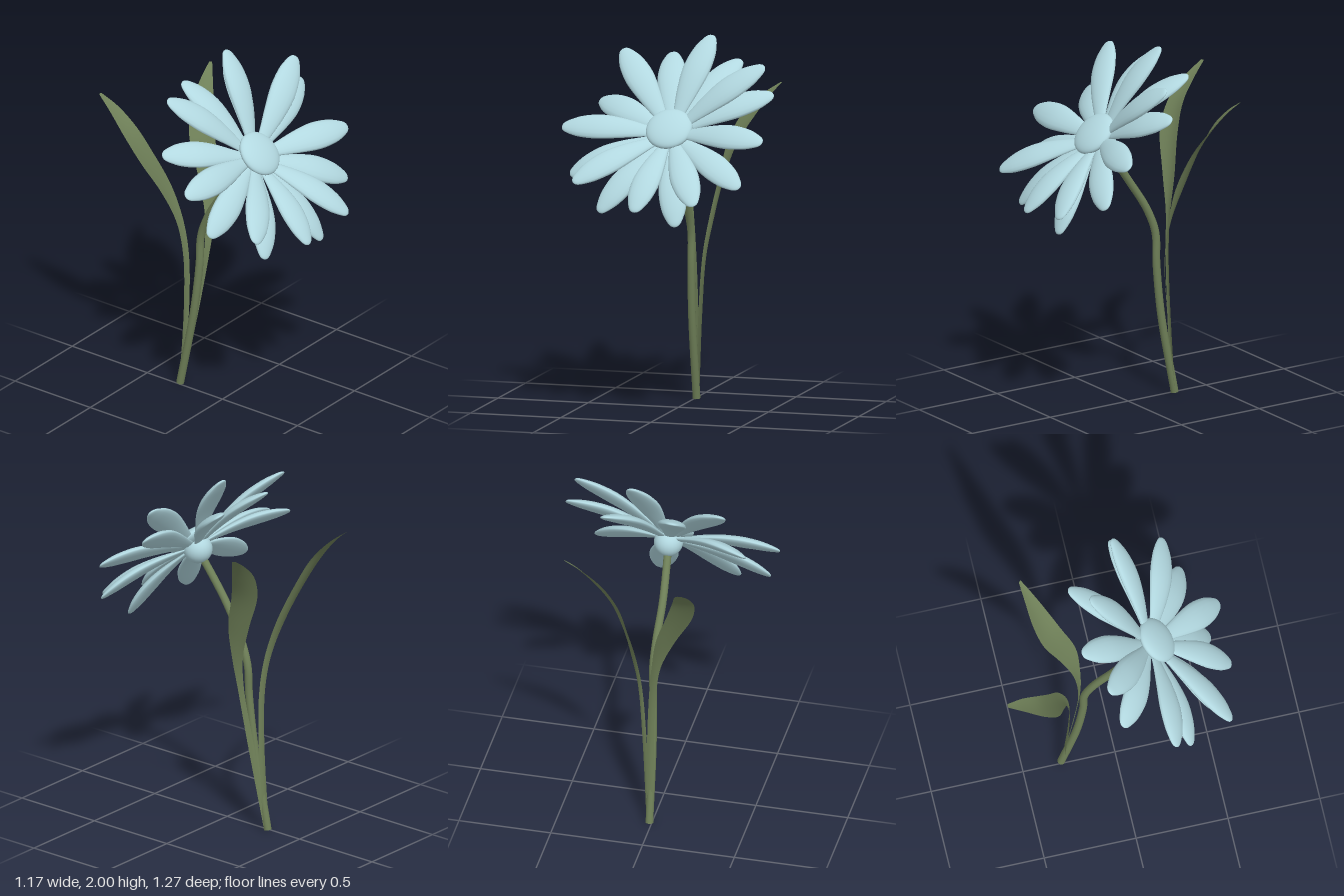
import * as THREE from 'three';
import { mergeVertices } from 'three/addons/utils/BufferGeometryUtils.js';

const V = (x, y, z) => new THREE.Vector3(x, y, z);
const petalMat = new THREE.MeshStandardMaterial({ color: 0xb2d8e0 });
const greenMat = new THREE.MeshStandardMaterial({ color: 0x6f8058 });
const leafMat = new THREE.MeshStandardMaterial({ color: 0x6f8058, side: THREE.DoubleSide });

const facing = V(0, 0.7, 0.72).normalize(); // direction the flower looks
const heart = V(0.02, 1.51, 0.2);

function add(parent, name, geometry, material) {
  const mesh = new THREE.Mesh(geometry, material);
  mesh.name = name;
  parent.add(mesh);
  return mesh;
}

// Petal of unit length along y: a flattened spindle with a slight bow and a soft ridge
function petalGeometry() {
  const outline = new THREE.SplineCurve([
    [0, 0], [0.022, 0.01], [0.036, 0.15], [0.062, 0.38], [0.077, 0.6],
    [0.067, 0.8], [0.042, 0.93], [0.022, 0.985], [0, 1],
  ].map(([r, t]) => new THREE.Vector2(r, t)));
  const points = outline.getPoints(28).map((p) => new THREE.Vector2(Math.max(p.x, 0), p.y));
  let geo = new THREE.LatheGeometry(points, 16);
  const pos = geo.attributes.position;
  for (let i = 0; i < pos.count; i++) {
    const t = pos.getY(i), z = pos.getZ(i);
    pos.setZ(i, z * (z > 0 ? 0.4 : 0.26) + 0.022 * Math.sin(Math.PI * t));
  }
  geo.deleteAttribute('uv');
  geo.deleteAttribute('normal');
  geo = mergeVertices(geo, 1e-5);
  geo.computeVertexNormals();
  return geo;
}

// Leaf blade spanned between two edge curves, gently folded along the middle
function leafGeometry(rows, fold) {
  const edges = [0, 1].map((k) => new THREE.CatmullRomCurve3(
    rows.map(([y, ...e]) => V(e[k * 2], y, e[k * 2 + 1]))));
  const steps = 40, cols = 6, position = [], index = [];
  for (let i = 0; i <= steps; i++) {
    const a = edges[0].getPoint(i / steps), b = edges[1].getPoint(i / steps);
    const width = a.distanceTo(b);
    for (let j = 0; j <= cols; j++) {
      const s = j / cols;
      const p = a.clone().lerp(b, s).addScaledVector(fold, width * Math.sin(Math.PI * s));
      position.push(p.x, p.y, p.z);
      if (i < steps && j < cols) {
        const q = i * (cols + 1) + j, r = q + cols + 1;
        index.push(q, q + 1, r, q + 1, r + 1, r);
      }
    }
  }
  const geo = new THREE.BufferGeometry();
  geo.setAttribute('position', new THREE.Float32BufferAttribute(position, 3));
  geo.setIndex(index);
  geo.computeVertexNormals();
  return geo;
}

export function createModel() {
  const model = new THREE.Group();
  model.name = 'flower';

  // Stem
  const path = new THREE.CatmullRomCurve3([
    V(0.012, 0.01, -0.29), V(0.014, 0.45, -0.203), V(0.02, 0.75, -0.168), V(0.023, 0.92, -0.16),
    V(0.018, 1.06, -0.108), V(0.008, 1.23, -0.002), V(0.012, 1.375, 0.1), V(0.02, 1.49, 0.185)]);
  add(model, 'stem', new THREE.TubeGeometry(path, 48, 0.021, 12), greenMat);
  const cut = add(model, 'stemEnd', new THREE.CircleGeometry(0.021, 12), leafMat);
  cut.position.copy(path.getPoint(0));
  cut.lookAt(cut.position.clone().sub(path.getTangent(0)));

  // Leaves, each row: height, then x and z of both edges
  add(model, 'rightLeaf', leafGeometry([
    [0.02, -0.008, -0.28, 0.03, -0.28], [0.5, -0.005, -0.252, 0.035, -0.246],
    [0.8, -0.015, -0.25, 0.025, -0.243], [1.0, -0.045, -0.272, 0.005, -0.266],
    [1.2, -0.13, -0.308, -0.03, -0.318], [1.4, -0.235, -0.365, -0.1, -0.385],
    [1.55, -0.27, -0.45, -0.15, -0.455], [1.66, -0.26, -0.55, -0.185, -0.55],
    [1.73, -0.243, -0.635, -0.222, -0.637]], V(0, 0.03, -0.09)), leafMat);
  add(model, 'leftLeaf', leafGeometry([
    [0.01, 0.005, -0.3, 0.03, -0.28], [0.5, 0.045, -0.218, 0.072, -0.2],
    [0.8, 0.078, -0.182, 0.105, -0.163], [1.0, 0.11, -0.2, 0.148, -0.157],
    [1.2, 0.14, -0.268, 0.195, -0.17], [1.4, 0.17, -0.35, 0.252, -0.24],
    [1.55, 0.245, -0.392, 0.335, -0.312], [1.65, 0.35, -0.41, 0.4, -0.368],
    [1.71, 0.44, -0.422, 0.45, -0.41]], V(0.07, -0.03, -0.02)), leafMat);

  // Flower head: domed centre and the bulb behind it
  const tilt = new THREE.Quaternion().setFromUnitVectors(V(0, 1, 0), facing);
  const disc = add(model, 'flowerCentre', new THREE.SphereGeometry(0.126, 32, 20), petalMat);
  disc.scale.y = 0.33;
  disc.quaternion.copy(tilt);
  disc.position.copy(heart).addScaledVector(facing, 0.045);
  const bulb = add(model, 'flowerBase', new THREE.SphereGeometry(0.078, 24, 16), petalMat);
  bulb.position.copy(heart).addScaledVector(facing, -0.02);

  // Petals, given by their tips
  const tips = [
    [0.16, 2.0, -0.1], [0.29, 1.86, -0.19], [0.51, 1.88, 0.1], [0.56, 1.73, 0.1],
    [0.585, 1.52, 0.39], [0.48, 1.28, 0.47], [0.275, 1.2, 0.63], [0.15, 1.07, 0.55],
    [-0.06, 1.15, 0.62], [-0.29, 1.12, 0.5], [-0.42, 1.28, 0.54], [-0.51, 1.28, 0.3],
    [-0.585, 1.52, 0.2], [-0.45, 1.63, -0.06], [-0.34, 1.9, -0.11], [-0.09, 1.88, -0.2],
  ];
  const petals = new THREE.Group();
  petals.name = 'petals';
  model.add(petals);
  const geo = petalGeometry();
  for (const tip of tips) {
    const along = V(...tip).sub(heart);
    const length = along.length() - 0.05;
    along.normalize();
    const across = along.clone().cross(facing).normalize();
    const petal = add(petals, 'petal', geo, petalMat);
    petal.quaternion.setFromRotationMatrix(
      new THREE.Matrix4().makeBasis(across, along, across.clone().cross(along)));
    petal.position.copy(heart).addScaledVector(along, 0.05);
    petal.scale.y = length;
  }
  return model;
}
